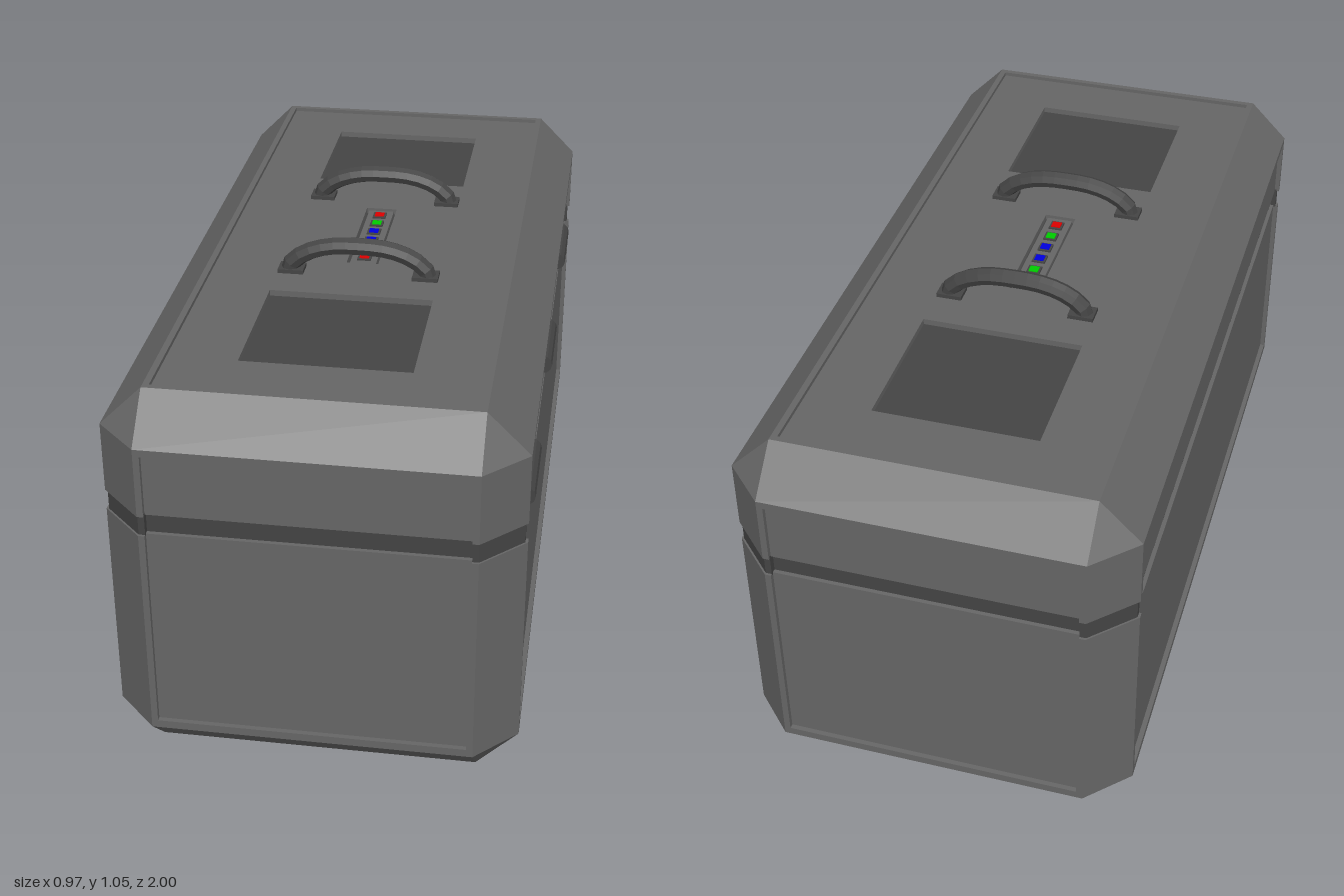
import * as THREE from 'three';

const HX = 0.48, HZ = 1, CH = 0.1;          // half width, half length, edge chamfer
const PX = 0.365, PZ = 0.885;               // half sizes of the recessed panels
const TOP = 0.963, SEAM_LOW = 0.64, SEAM_HIGH = 0.69;

const mat = (color) => new THREE.MeshStandardMaterial({ color, flatShading: true });
const shellMat = mat(0x666666), darkMat = mat(0x444444);

function add(parent, name, geometry, material, x = 0, y = 0, z = 0) {
  const mesh = new THREE.Mesh(geometry, material);
  mesh.name = name;
  mesh.position.set(x, y, z);
  parent.add(mesh);
  return mesh;
}

const rectPoints = (w, h, cx = 0, cy = 0) =>
  [[-w, -h], [w, -h], [w, h], [-w, h]].map(([x, y]) => new THREE.Vector2(x + cx, y + cy));

// Octagonal plan of the case; a notch > 0 sinks the middle of each side
function plan(inset = 0, notch = 0) {
  const a = HX - inset, b = HZ - inset, ax = HX - CH, bz = HZ - CH;
  const quarter = [[a, bz], [ax, b]];
  if (notch) {
    quarter.unshift([a - notch, PZ], [a, PZ]);
    quarter.push([PX, b], [PX, b - notch]);
  }
  const rev = [...quarter].reverse();
  const pts = [
    ...quarter,
    ...rev.map(([x, y]) => [-x, y]),
    ...quarter.map(([x, y]) => [-x, -y]),
    ...rev.map(([x, y]) => [x, -y]),
  ];
  return new THREE.Shape(pts.map(([x, y]) => new THREE.Vector2(x, y)));
}

// Upright prism of a plan shape between two heights
function prism(shape, y0, y1) {
  const g = new THREE.ExtrudeGeometry(shape, { depth: y1 - y0, bevelEnabled: false });
  return g.rotateX(-Math.PI / 2).translate(0, y0, 0);
}

function plateWithHoles(w, h, holes, y0, y1) {
  const shape = new THREE.Shape(rectPoints(w, h));
  holes.forEach((p) => shape.holes.push(new THREE.Path(p)));
  return prism(shape, y0, y1);
}

// Sloping band from the octagon at yWide to the rectangle at yFlat
function chamferBand(yWide, yFlat) {
  const wide = plan().getPoints().slice(0, 8);
  const pos = [];
  const up = yFlat > yWide;
  const low = (p) => [p.x, yWide, -p.y];
  const flat = (p) => [Math.sign(p.x) * (HX - CH), yFlat, -Math.sign(p.y) * (HZ - CH)];
  const tri = (a, b, c) => pos.push(...(up ? [a, b, c] : [a, c, b]).flat());
  wide.forEach((p, i) => {
    const q = wide[(i + 1) % 8];
    tri(low(p), low(q), flat(q));
    if (i % 2) tri(low(p), flat(q), flat(p));
  });
  const g = new THREE.BufferGeometry();
  g.setAttribute('position', new THREE.Float32BufferAttribute(pos, 3));
  g.computeVertexNormals();
  return g;
}

export function createModel() {
  const model = new THREE.Group();
  model.name = 'carryCase';
  const body = new THREE.Group();
  body.name = 'case';
  body.position.x = -0.003;
  model.add(body);

  // Lower box
  const base = new THREE.Group();
  base.name = 'base';
  body.add(base);
  add(base, 'baseWalls', prism(plan(0, 0.012), 0.12, SEAM_LOW), shellMat);
  add(base, 'baseRim', prism(plan(), CH, 0.12), shellMat);
  add(base, 'baseChamfer', chamferBand(CH, 0), shellMat);
  add(base, 'bottomFrame', plateWithHoles(HX - CH, HZ - CH, [rectPoints(PX, PZ)], 0, 0.012), shellMat);
  add(base, 'bottomPanel', prism(new THREE.Shape(rectPoints(PX, PZ)), 0.01, 0.02), shellMat);

  // Dark seam between box and lid
  add(body, 'seam', prism(plan(0.006, 0.016), SEAM_LOW - 0.005, SEAM_HIGH + 0.005), darkMat);

  // Lid
  const lid = new THREE.Group();
  lid.name = 'lid';
  body.add(lid);
  add(lid, 'lidWalls', prism(plan(0, 0.012), SEAM_HIGH, 0.845), shellMat);
  add(lid, 'lidRim', prism(plan(), 0.845, TOP - CH), shellMat);
  add(lid, 'lidChamfer', chamferBand(TOP - CH, TOP), shellMat);
  add(lid, 'topFrame', plateWithHoles(HX - CH, HZ - CH, [rectPoints(PX, PZ)], TOP - 0.012, TOP), shellMat);

  // Top panel with two square wells and a slot for the light strip
  const wells = [-0.545, 0.545].map((z) => rectPoints(0.2, 0.185, 0, z));
  const slot = rectPoints(0.04, 0.175);
  add(lid, 'topPanel', plateWithHoles(PX, PZ, [...wells, slot], TOP - 0.035, TOP - 0.01), shellMat);
  for (const z of [-0.545, 0.545]) {
    add(lid, 'wellFloor', new THREE.BoxGeometry(0.4, 0.01, 0.37), darkMat, 0, TOP - 0.03, z);
  }
  add(lid, 'lightStrip', new THREE.BoxGeometry(0.066, 0.02, 0.336), shellMat, 0, TOP - 0.024, 0);
  add(lid, 'slotFloor', new THREE.BoxGeometry(0.08, 0.01, 0.35), darkMat, 0, TOP - 0.03, 0);

  // Indicator lights, mirrored outward from the middle
  [[0.027, 0x0000dd], [0.08, 0x00cc00], [0.134, 0xdd0000]].forEach(([d, color]) => {
    for (const s of [-1, 1]) {
      add(lid, 'lightSocket', new THREE.BoxGeometry(0.034, 0.008, 0.034), darkMat, 0, TOP - 0.014, s * d);
      add(lid, 'light', new THREE.BoxGeometry(0.024, 0.01, 0.024), mat(color), 0, TOP - 0.013, s * d);
    }
  });

  // Carrying handles with foot plates
  const half = [[0.176, 0.945], [0.172, 0.968], [0.14, 0.998], [0.08, 1.021]];
  const arc = [...half.map(([x, y]) => [-x, y]), [0, 1.027], ...[...half].reverse()];
  const curve = new THREE.CatmullRomCurve3(arc.map(([x, y]) => new THREE.Vector3(x, y, 0)));
  for (const z of [-0.237, 0.237]) {
    const handle = new THREE.Group();
    handle.name = 'handle';
    handle.position.z = z;
    lid.add(handle);
    add(handle, 'grip', new THREE.TubeGeometry(curve, 14, 0.0225, 8), darkMat);
    for (const s of [-1, 1]) {
      add(handle, 'foot', new THREE.BoxGeometry(0.064, 0.012, 0.05), darkMat, s * 0.168, TOP - 0.006, 0);
    }
  }

  // Hinge barrels along the left side
  for (const z of [-0.64, 0, 0.64]) {
    const barrel = new THREE.CylinderGeometry(0.025, 0.025, 0.22, 12).rotateX(Math.PI / 2);
    add(body, 'hinge', barrel, darkMat, 0.461, (SEAM_LOW + SEAM_HIGH) / 2, z);
  }
  return model;
}
